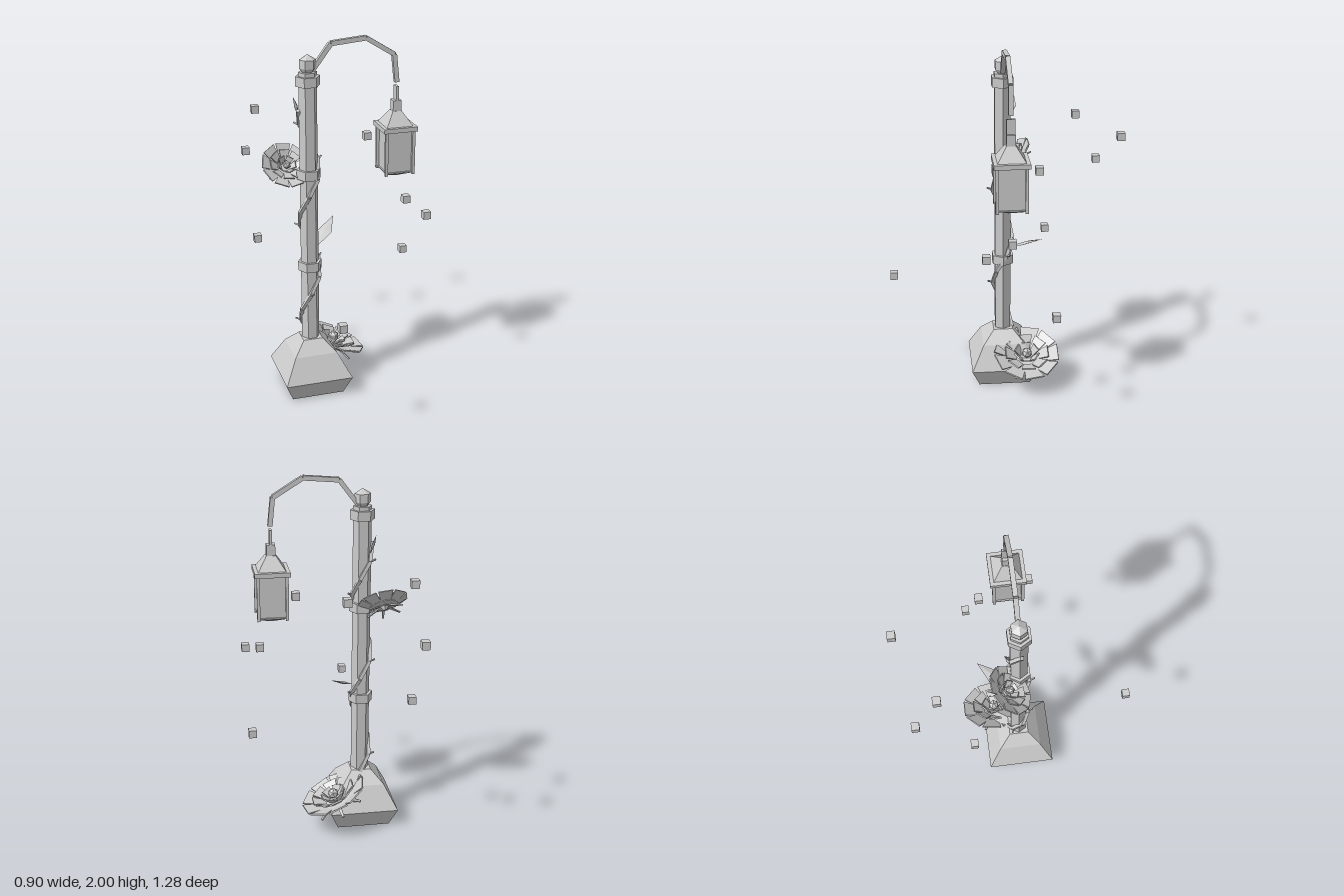
import * as THREE from 'three';

export function createModel() {
  const model = new THREE.Group();
  model.name = 'gardenLamp';
  const stone = new THREE.MeshStandardMaterial({ color: 0xcccccc });
  stone.name = 'pale grey';
  const V = (x, y, z) => new THREE.Vector3(x, y, z);
  const UP = V(0, 1, 0);

  // Faceted mesh
  function add(parent, name, geo, x = 0, y = 0, z = 0) {
    const flat = geo.index ? geo.toNonIndexed() : geo;
    flat.computeVertexNormals();
    const mesh = new THREE.Mesh(flat, stone);
    mesh.name = name;
    mesh.position.set(x, y, z);
    parent.add(mesh);
    return mesh;
  }
  // Profile of [half width, height] turned with 4 or 6 sides
  function turned(parent, name, profile, sides, x) {
    const k = sides === 4 ? Math.SQRT2 : 1;
    const pts = profile.map(([r, y]) => new THREE.Vector2(r * k, y));
    return add(parent, name, new THREE.LatheGeometry(pts, sides, Math.PI / sides), x);
  }
  // Square bar between two points
  function bar(parent, name, a, b, w) {
    const mesh = add(parent, name, new THREE.BoxGeometry(w, a.distanceTo(b), w));
    mesh.position.copy(a).lerp(b, 0.5);
    mesh.quaternion.setFromUnitVectors(UP, b.clone().sub(a).normalize());
    return mesh;
  }

  // Plinth, post, collars and finial
  const px = -0.2;
  turned(model, 'plinth', [[0, 0], [0.147, 0], [0.19, 0.105], [0.12, 0.24], [0.055, 0.31], [0, 0.31]], 4, px);
  turned(model, 'post', [[0, 0.3], [0.05, 0.3], [0.05, 1.83], [0, 1.83]], 6, px);
  for (const y of [0.72, 1.25, 1.757]) {
    turned(model, 'collar', [[0.05, y], [0.066, y], [0.066, y + 0.052], [0.05, y + 0.052]], 6, px);
  }
  turned(model, 'finial', [[0, 1.825], [0.03, 1.83], [0.044, 1.85], [0.044, 1.895], [0, 1.922]], 6, px);

  // Curved arm made of straight bars
  const arm = [V(-0.18, 1.83, 0), V(-0.075, 1.97, 0), V(0.115, 1.987, 0), V(0.272, 1.89, 0), V(0.288, 1.74, 0)];
  for (let i = 0; i < arm.length - 1; i++) bar(model, 'arm', arm[i], arm[i + 1], 0.025);

  // Hanging lantern
  const lantern = new THREE.Group();
  lantern.name = 'lantern';
  lantern.position.x = 0.287;
  model.add(lantern);
  add(lantern, 'link', new THREE.BoxGeometry(0.014, 0.08, 0.046), 0, 1.68);
  add(lantern, 'neck', new THREE.BoxGeometry(0.046, 0.065, 0.046), 0, 1.61);
  turned(lantern, 'roof', [[0.075, 1.508], [0.025, 1.585], [0, 1.585]], 4, 0);
  add(lantern, 'eaves', new THREE.BoxGeometry(0.188, 0.025, 0.188), 0, 1.497);
  turned(lantern, 'glass', [[0.068, 1.25], [0.068, 1.487]], 4, 0);
  turned(lantern, 'lowerCap', [[0, 1.22], [0.012, 1.22], [0.076, 1.25], [0.076, 1.257], [0, 1.257]], 4, 0);
  for (const sx of [-1, 1]) for (const sz of [-1, 1]) {
    add(lantern, 'cornerPost', new THREE.BoxGeometry(0.016, 0.245, 0.016), sx * 0.076, 1.365, sz * 0.076);
  }

  // Vine winding up the post
  const vineAt = (y, r = 0.057) => {
    const a = (Math.PI * 2 * (y - 0.6)) / 0.58;
    return V(px + r * Math.sin(a), y, r * Math.cos(a));
  };
  const steps = 14;
  const vineY = (i) => 0.3 + (1.33 * i) / steps;
  for (let i = 0; i < steps; i++) {
    bar(model, 'vine', vineAt(vineY(i)), vineAt(vineY(i + 1)), 0.019);
    if (i % 2) bar(model, 'thorn', vineAt(vineY(i)), vineAt(vineY(i) + 0.015, 0.085), 0.008);
  }

  // Diamond leaves
  function leaf(from, to, width) {
    const geo = new THREE.OctahedronGeometry(1);
    geo.scale(width / 2, 0.008, from.distanceTo(to) / 2);
    const mesh = add(model, 'leaf', geo);
    mesh.position.copy(from).lerp(to, 0.5);
    mesh.lookAt(to);
  }
  leaf(V(-0.155, 0.83, -0.03), V(-0.005, 0.935, -0.205), 0.085);
  leaf(V(-0.235, 1.58, -0.05), V(-0.262, 1.685, -0.07), 0.045);

  // Thin petal that widens outwards from radius r0 along +z
  function petal(length, inner, outer, thick) {
    const geo = new THREE.BoxGeometry(1, thick, length);
    geo.translate(0, 0, length / 2);
    const p = geo.attributes.position;
    for (let i = 0; i < p.count; i++) p.setX(i, p.getX(i) * (p.getZ(i) > length / 2 ? outer : inner));
    return geo;
  }
  // Rings: count, start radius, height, length, inner width, outer width, upward tilt
  const rings = [
    [9, 0.0, 0.0, 0.1, 0.01, 0.078, 0.12],
    [9, 0.092, 0.012, 0.097, 0.07, 0.112, 0.42],
    [8, 0.06, 0.018, 0.075, 0.048, 0.08, 0.6],
    [6, 0.034, 0.015, 0.055, 0.034, 0.054, 0.95],
    [6, 0.03, 0.004, 0.115, 0.022, 0.012, -0.32],
  ];
  function flower(center, normal, size) {
    const group = new THREE.Group();
    group.name = 'flower';
    group.position.copy(center);
    group.quaternion.setFromUnitVectors(UP, normal.normalize());
    group.scale.setScalar(size);
    model.add(group);
    rings.forEach(([count, r, h, length, inner, outer, tilt], ring) => {
      for (let i = 0; i < count; i++) {
        const spoke = new THREE.Group();
        spoke.name = ring === 4 ? 'sepalSpoke' : 'petalSpoke';
        spoke.rotation.y = ((i + ring * 0.5) / count) * Math.PI * 2;
        group.add(spoke);
        const mesh = add(spoke, ring === 4 ? 'sepal' : 'petal', petal(length, inner, outer, 0.008), 0, h, r);
        mesh.rotation.x = -tilt;
      }
    });
    add(group, 'flowerHeart', new THREE.IcosahedronGeometry(0.032, 0), 0, 0.05, 0);
    add(group, 'calyx', new THREE.CylinderGeometry(0.04, 0.015, 0.03, 6), 0, -0.012, 0);
  }
  flower(V(-0.31, 1.29, -0.08), V(0.1, 0.74, 0.66), 0.73);
  bar(model, 'flowerStem', V(-0.22, 1.25, -0.03), V(-0.31, 1.285, -0.085), 0.014);
  flower(V(-0.05, 0.165, -0.125), V(0.42, 0.9, -0.02), 1);

  // Floating motes
  const motes = [
    [-0.39, 1.53, -0.43], [-0.015, 1.515, -0.62], [0.178, 1.405, -0.16],
    [-0.422, 1.25, -0.56], [0.355, 1.07, -0.003], [0.423, 1.02, 0.138],
    [-0.43, 0.825, -0.27], [0.425, 0.67, -0.23], [-0.2, 0.66, 0.62],
  ];
  for (const [x, y, z] of motes) add(model, 'mote', new THREE.BoxGeometry(0.042, 0.042, 0.042), x, y, z);

  return model;
}
